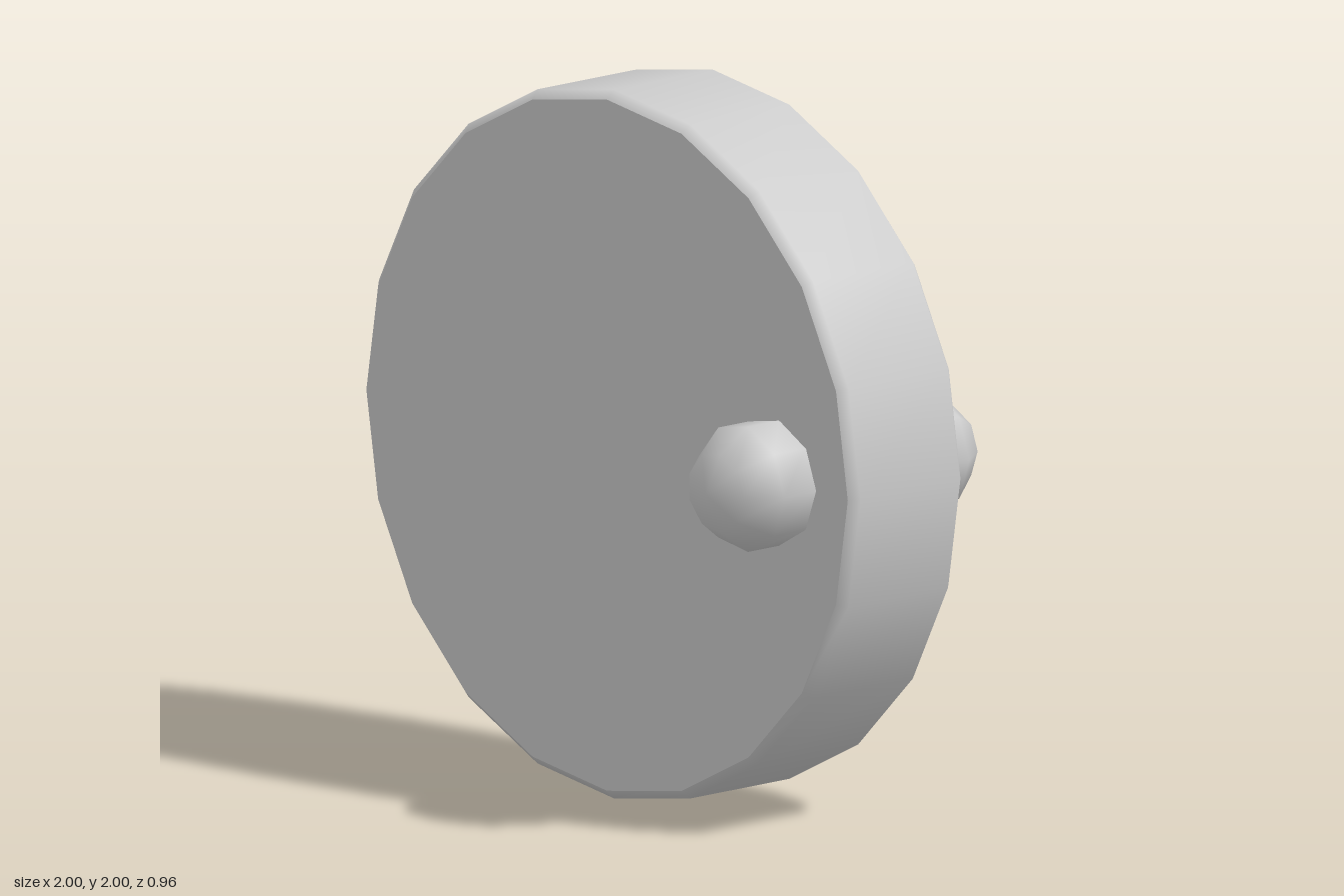
import * as THREE from 'three';

export function createModel() {
  const model = new THREE.Group();
  const material = new THREE.MeshStandardMaterial({ color: 0xcccccc });
  const yaw = -0.0115; // the whole model is turned very slightly

  function add(name, geometry, parent, x = 0, y = 0, z = 0) {
    const mesh = new THREE.Mesh(geometry, material);
    mesh.name = name;
    mesh.position.set(x, y, z);
    parent.add(mesh);
    return mesh;
  }

  // Thick 20-sided disc with a chamfered rim
  const R = 0.998, H = 0.2115, B = 0.025, SIDES = 20;
  const disc = new THREE.Group();
  disc.name = 'disc';
  disc.position.set(0, 1.003, 0.004);
  disc.rotation.y = yaw;
  model.add(disc);

  const profile = [[R - B, -H], [R, -H + B], [R, H - B], [R - B, H]]
    .map(([r, h]) => new THREE.Vector2(r, h));
  add('rim', new THREE.LatheGeometry(profile, SIDES).rotateX(Math.PI / 2), disc);

  // Flat faces, front and back
  add('frontFace', new THREE.CircleGeometry(R - B, SIDES), disc, 0, 0, H);
  add('backFace', new THREE.CircleGeometry(R - B, SIDES).rotateY(Math.PI), disc, 0, 0, -H);

  // Round knobs, one on each face, poles pointing out of the disc
  for (const [name, z] of [['frontKnob', 0.288], ['backKnob', -0.296]]) {
    const knob = new THREE.SphereGeometry(0.188, 9, 5, Math.PI).rotateX(Math.PI / 2);
    add(name, knob, model, 0.668, 1.01, z).rotation.y = yaw;
  }

  return model;
}
